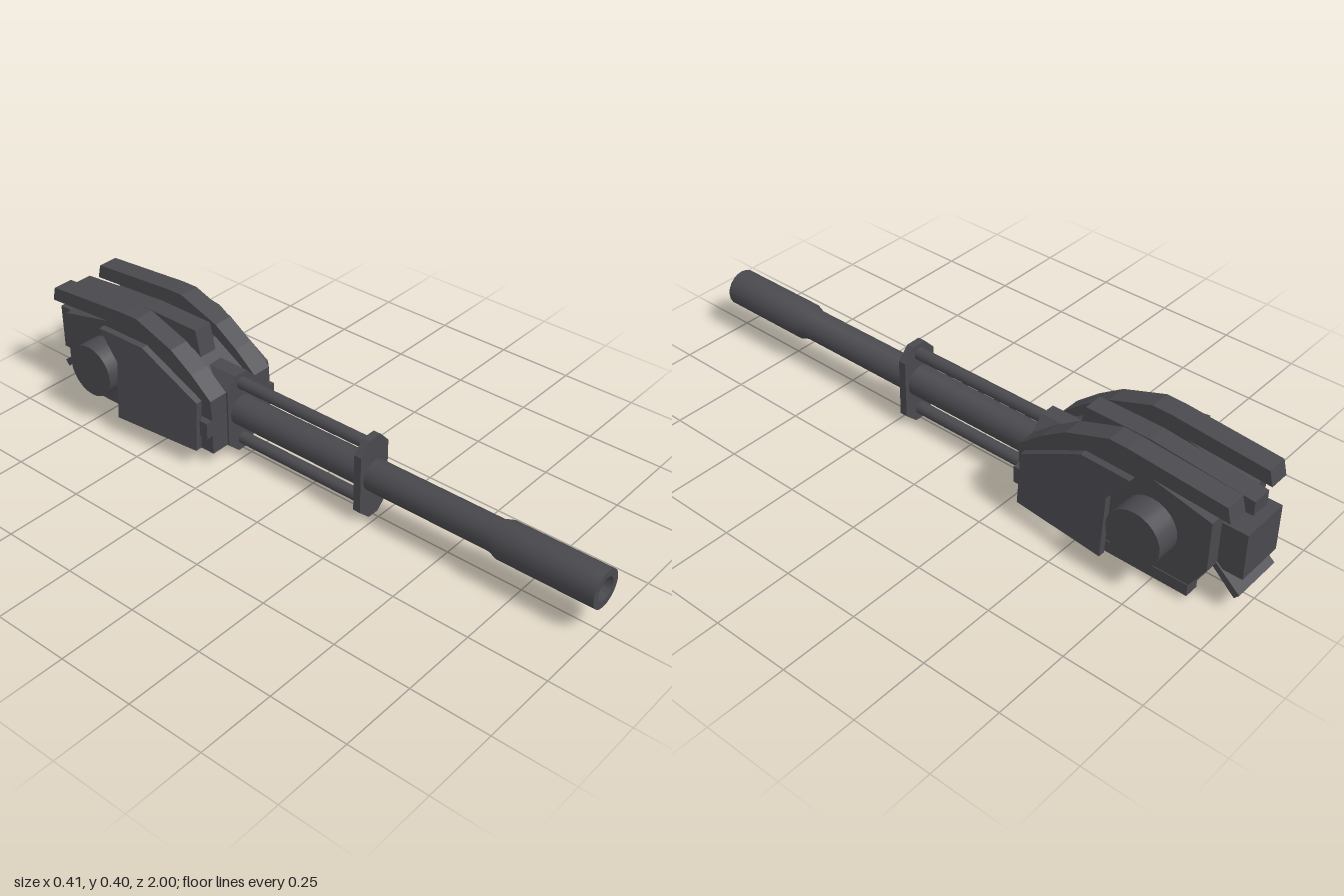
import * as THREE from 'three';
import { toCreasedNormals } from 'three/addons/utils/BufferGeometryUtils.js';

export function createModel() {
  const model = new THREE.Group();
  const gunmetal = new THREE.MeshStandardMaterial({ color: 0x4a494e });
  gunmetal.name = 'gunmetal';

  const add = (name, geometry) => {
    const mesh = new THREE.Mesh(geometry, gunmetal);
    mesh.name = name;
    model.add(mesh);
    return mesh;
  };
  const extrude = (points, depth) => new THREE.ExtrudeGeometry(
    new THREE.Shape(points.map(([a, b]) => new THREE.Vector2(a, b))),
    { depth, bevelEnabled: false });
  // Side profile of [z, y] points, spanning x0 to x1
  const side = (points, x0, x1) =>
    extrude(points, x1 - x0).rotateY(-Math.PI / 2).translate(x1, 0, 0);
  // Front profile of [x, y] points, spanning z0 to z1
  const front = (points, z0, z1) => extrude(points, z1 - z0).translate(0, 0, z0);
  const box = (x0, x1, y0, y1, z0, z1) =>
    new THREE.BoxGeometry(x1 - x0, y1 - y0, z1 - z0)
      .translate((x0 + x1) / 2, (y0 + y1) / 2, (z0 + z1) / 2);

  // Barrel with thicker hollow muzzle
  const barrelProfile = [[0, -0.35], [0.05, -0.35], [0.05, 0.66], [0.06, 0.69],
    [0.06, 1], [0.037, 1], [0.033, 0.9], [0, 0.9]].map(p => new THREE.Vector2(...p));
  add('barrel', toCreasedNormals(new THREE.LatheGeometry(barrelProfile, 20), 0.6)
    .rotateX(Math.PI / 2).translate(0, 0.146, 0));

  // Collar and mounting bracket share one eight-sided outline
  const collar = [[-0.02, 0.003], [0.02, 0.003], [0.062, 0.042], [0.062, 0.235],
    [0.025, 0.275], [-0.025, 0.275], [-0.062, 0.235], [-0.062, 0.042]];
  add('barrelCollar', front(collar, 0.205, 0.23));
  add('barrelBracket', front(collar, -0.41, -0.285));

  // Recoil rods above and below the barrel
  for (const [name, y] of [['upperRod', 0.243], ['lowerRod', 0.042]]) {
    add(name, new THREE.CylinderGeometry(0.02, 0.02, 0.57, 14)
      .rotateX(Math.PI / 2).translate(0, y, -0.07));
  }

  // Receiver body: recessed centre between two side slabs
  const rear = [[-0.92, 0.3], [-0.92, 0.14], [-0.87, 0.06], [-0.87, 0.045]];
  add('centreBody', side([[-0.31, 0.045], [-0.31, 0.225], [-0.45, 0.31],
    [-0.58, 0.345], [-0.66, 0.345], ...rear], -0.065, 0.065));
  const slab = [[-0.29, 0.045], [-0.29, 0.235], [-0.45, 0.32],
    [-0.59, 0.36], [-0.66, 0.36], ...rear];

  // Armour ribbons arch over the slabs and overhang at the back
  const ribbon = [[-0.29, 0.2], [-0.29, 0.235], [-0.365, 0.298], [-0.447, 0.353],
    [-0.59, 0.404], [-0.65, 0.403], [-0.96, 0.377], [-0.972, 0.33],
    [-0.66, 0.352], [-0.59, 0.352], [-0.45, 0.31]];
  const shield = [[-0.32, 0.065], [-0.32, 0.23], [-0.53, 0.345],
    [-0.7, 0.355], [-0.63, 0.26], [-0.63, 0.065]];

  for (const s of [1, -1]) {
    const tag = s > 0 ? 'left' : 'right';
    const mirrored = (points, a, b) => side(points, Math.min(s * a, s * b), Math.max(s * a, s * b));
    add(tag + 'BodySlab', mirrored(slab, 0.063, 0.127));
    add(tag + 'ArmourRibbon', mirrored(ribbon, 0.063, 0.13));

    // Side shield splays outward to the rear and to the bottom
    const plate = mirrored(shield, 0.148, 0.17);
    const pos = plate.attributes.position;
    for (let i = 0; i < pos.count; i++) {
      const splay = 0.09 * (-0.32 - pos.getZ(i)) - 0.07 * (pos.getY(i) - 0.065);
      pos.setX(i, pos.getX(i) + s * splay);
    }
    plate.computeVertexNormals();
    add(tag + 'SideShield', plate);

    add(tag + 'ShieldLug', box(0.12, 0.15, 0.11, 0.165, -0.34, -0.29)
      .translate(s > 0 ? 0 : -0.27, 0, 0));
    add(tag + 'Trunnion', new THREE.CylinderGeometry(0.087, 0.087, 0.1, 24)
      .rotateZ(Math.PI / 2).translate(s * 0.155, 0.196, -0.735));
  }

  // Raised rail along the centre top
  add('topRail', side([[-0.42, 0.29], [-0.44, 0.378], [-0.65, 0.378],
    [-0.98, 0.345], [-0.98, 0.3]], -0.032, 0.032));

  // Rear block and the slanted flap below it
  add('rearBlock', box(-0.08, 0.08, 0.125, 0.275, -1, -0.91));
  add('rearFlap', side([[-0.9, 0.135], [-0.91, 0.15], [-1, 0.072],
    [-0.985, 0.055]], -0.085, 0.085));

  // Underside: pivot disc and off-centre box
  add('pivotDisc', new THREE.CylinderGeometry(0.093, 0.093, 0.06, 28)
    .translate(0, 0.035, -0.66));
  add('undersideBox', box(0.083, 0.13, 0.022, 0.06, -0.87, -0.41));

  return model;
}
